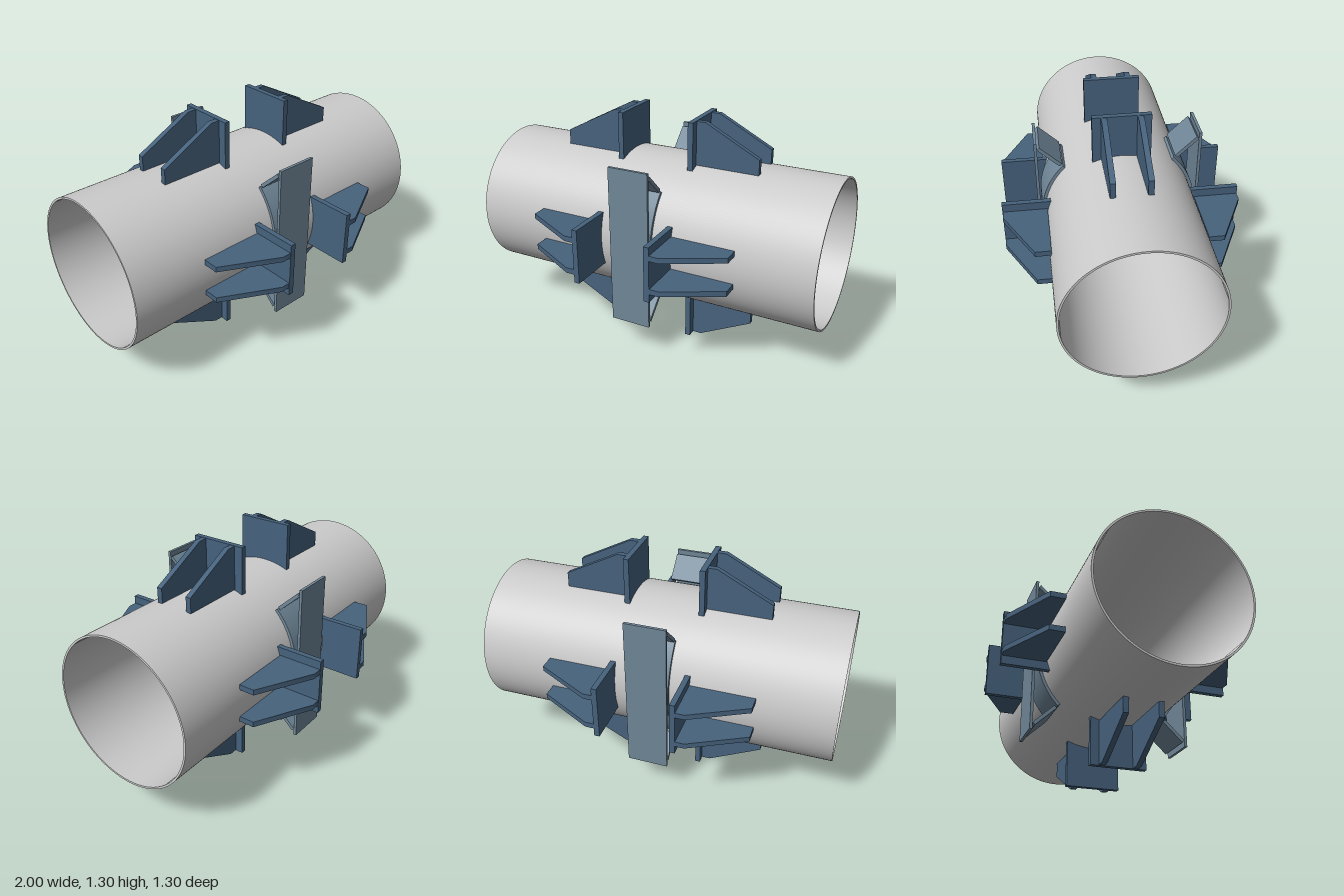
import * as THREE from 'three';
import { toCreasedNormals } from 'three/addons/utils/BufferGeometryUtils.js';

const CENTRE_Y = 0.655, R = 0.416, R_INNER = 0.405;
const pipeMat = new THREE.MeshStandardMaterial({ color: 0xcccccc });
const bracketMat = new THREE.MeshStandardMaterial({ color: 0x46627d });
const saddleMat = new THREE.MeshStandardMaterial({ color: 0x708798 });

// Extrude a shape, centred on its depth
function extrude(shape, depth, curveSegments = 24) {
  const g = new THREE.ExtrudeGeometry(shape, { depth, bevelEnabled: false, curveSegments });
  g.translate(0, 0, -depth / 2);
  return toCreasedNormals(g, 0.5);
}

// Extrude a cross-section drawn in (z, y) along the pipe axis x
const extrudeAlongX = (shape, depth, segments) => extrude(shape, depth, segments).rotateY(-Math.PI / 2);

function addMesh(parent, name, geometry, material) {
  const mesh = new THREE.Mesh(geometry, material);
  mesh.name = name;
  parent.add(mesh);
  return mesh;
}

// Stop plate with a foot cut to the pipe, braced by two tapered gussets
function createBracket() {
  const bracket = new THREE.Group();
  const half = 0.155, top = 0.65;
  const a = Math.asin(half / R);
  const plate = new THREE.Shape();
  plate.moveTo(-half, top);
  plate.lineTo(-half, R * Math.cos(a));
  plate.absarc(0, 0, R, Math.PI / 2 + a, Math.PI / 2 - a, true);
  plate.lineTo(half, top);
  plate.closePath();
  addMesh(bracket, 'stopPlate', extrudeAlongX(plate, 0.03), bracketMat).position.x = 0.21;

  const gusset = new THREE.Shape([
    [0.225, 0.406], [0.58, 0.406], [0.58, 0.49], [0.275, 0.648], [0.225, 0.648],
  ].map(([x, y]) => new THREE.Vector2(x, y)));
  const gussetGeo = extrude(gusset, 0.03);
  for (const z of [-0.094, 0.094]) addMesh(bracket, 'gusset', gussetGeo, bracketMat).position.z = z;
  return bracket;
}

// Curved pad on the pipe, a flat outer plate and two slanted struts
function createSaddle() {
  const saddle = new THREE.Group();
  const width = 0.23, a = Math.PI / 4, padR = 0.433;
  const pad = new THREE.Shape();
  pad.absarc(0, 0, padR, -a, a, false);
  pad.absarc(0, 0, R, a, -a, true);
  pad.closePath();
  addMesh(saddle, 'curvedPad', extrudeAlongX(pad, width, 32), saddleMat);

  addMesh(saddle, 'sidePlate', new THREE.BoxGeometry(width, 0.905, 0.016), saddleMat).position.z = 0.448;

  const inner = new THREE.Vector2(0.318, 0.312), outer = new THREE.Vector2(0.434, 0.422);
  const dir = outer.clone().sub(inner);
  const strutGeo = new THREE.BoxGeometry(width, 0.02, dir.length());
  for (const s of [1, -1]) {
    const strut = addMesh(saddle, 'strut', strutGeo, saddleMat);
    strut.position.set(0, s * (inner.y + outer.y) / 2, (inner.x + outer.x) / 2);
    strut.rotation.x = -s * dir.angle();
  }
  return saddle;
}

export function createModel() {
  const model = new THREE.Group();
  model.name = 'pipeSupport';
  const body = new THREE.Group();
  body.name = 'pipeAssembly';
  body.position.y = CENTRE_Y;
  model.add(body);

  // Hollow pipe
  const ring = new THREE.Shape();
  ring.absarc(0, 0, R, 0, Math.PI * 2, false);
  const bore = new THREE.Path();
  bore.absarc(0, 0, R_INNER, 0, Math.PI * 2, true);
  ring.holes.push(bore);
  addMesh(body, 'pipe', extrudeAlongX(ring, 2, 96), pipeMat);

  // Four brackets around the pipe on each side of the middle
  for (let i = 0; i < 4; i++) {
    const spoke = new THREE.Group();
    spoke.name = 'bracketPair';
    spoke.rotation.x = i * Math.PI / 2;
    for (const turn of [0, Math.PI]) {
      const bracket = createBracket();
      bracket.name = 'bracket';
      bracket.rotation.y = turn;
      spoke.add(bracket);
    }
    body.add(spoke);
  }

  // Front and back saddles
  for (const turn of [0, Math.PI]) {
    const saddle = createSaddle();
    saddle.name = turn ? 'backSaddle' : 'frontSaddle';
    saddle.rotation.y = turn;
    body.add(saddle);
  }
  return model;
}
